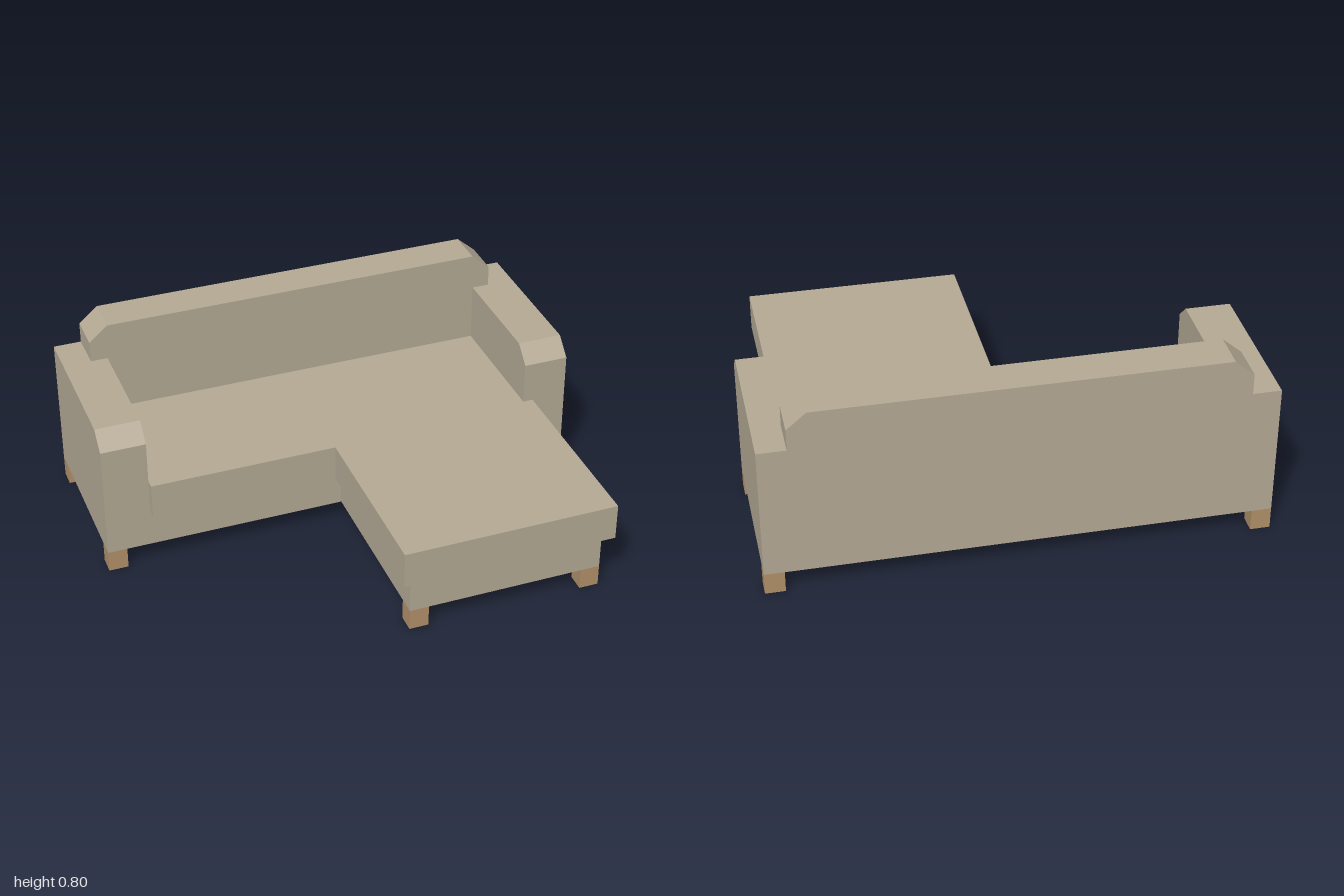
import * as THREE from 'three';

const fabric = new THREE.MeshStandardMaterial({ color: 0xb4a994 });
fabric.name = 'beige fabric';
const wood = new THREE.MeshStandardMaterial({ color: 0xb19069 });
wood.name = 'light wood';

const BACK = -0.76, FRONT = -0.04, FLOOR = 0.09, SEAT = 0.25, TOP = 0.4;

function extrude(points, depth) {
  const shape = new THREE.Shape(points.map(([a, b]) => new THREE.Vector2(a, b)));
  return new THREE.ExtrudeGeometry(shape, { depth, bevelEnabled: false });
}

// Slab with an outline of [x, z] points between two heights
function slab(outline, y0, y1) {
  return extrude(outline.map(([x, z]) => [x, -z]), y1 - y0)
    .rotateX(-Math.PI / 2)
    .translate(0, y0, 0);
}

export function createModel() {
  const group = new THREE.Group();
  const add = (name, geometry, material = fabric) => {
    const mesh = new THREE.Mesh(geometry, material);
    mesh.name = name;
    group.add(mesh);
  };

  // L-shaped base
  add('base', slab([
    [-0.815, BACK], [-0.815, FRONT], [0, FRONT], [0, 0.725],
    [0.813, 0.725], [0.813, BACK],
  ], FLOOR, SEAT));

  // Seat cushions; the chaise cushion widens in front of the arm
  add('seatCushion', slab([
    [-0.815, -0.6], [-0.815, 0], [-0.04, 0], [-0.04, -0.6],
  ], SEAT, TOP));
  add('chaiseCushion', slab([
    [-0.04, -0.6], [-0.04, 0.76], [0.855, 0.76], [0.855, FRONT],
    [0.813, FRONT], [0.813, -0.6],
  ], SEAT - 0.005, TOP));

  // Backrest with cut corners, stepping out over the arms
  add('backrest', extrude([
    [-0.815, SEAT], [0.813, SEAT], [0.813, 0.645], [0.885, 0.645], [0.885, 0.733],
    [0.807, 0.8], [-0.807, 0.8], [-0.885, 0.733], [-0.885, 0.645], [-0.815, 0.645],
  ], 0.163).translate(0, 0, BACK));

  // Arms with a chamfered front edge
  for (const [name, right] of [['leftArm', 1], ['rightArm', -0.815]]) {
    const arm = extrude([
      [BACK, FLOOR], [FRONT, FLOOR], [FRONT, 0.577], [-0.112, 0.645], [BACK, 0.645],
    ], right > 0 ? 0.187 : 0.185);
    add(name, arm.rotateY(-Math.PI / 2).translate(right, 0, 0));
  }

  // Square legs under the outer corners
  const legs = [
    [-0.96, -0.723], [0.96, -0.723], [-0.96, -0.077], [0.96, -0.077],
    [0.04, 0.688], [0.773, 0.688],
  ];
  for (const [x, z] of legs) {
    add('leg', new THREE.BoxGeometry(0.08, FLOOR, 0.074).translate(x, FLOOR / 2, z), wood);
  }

  return group;
}
